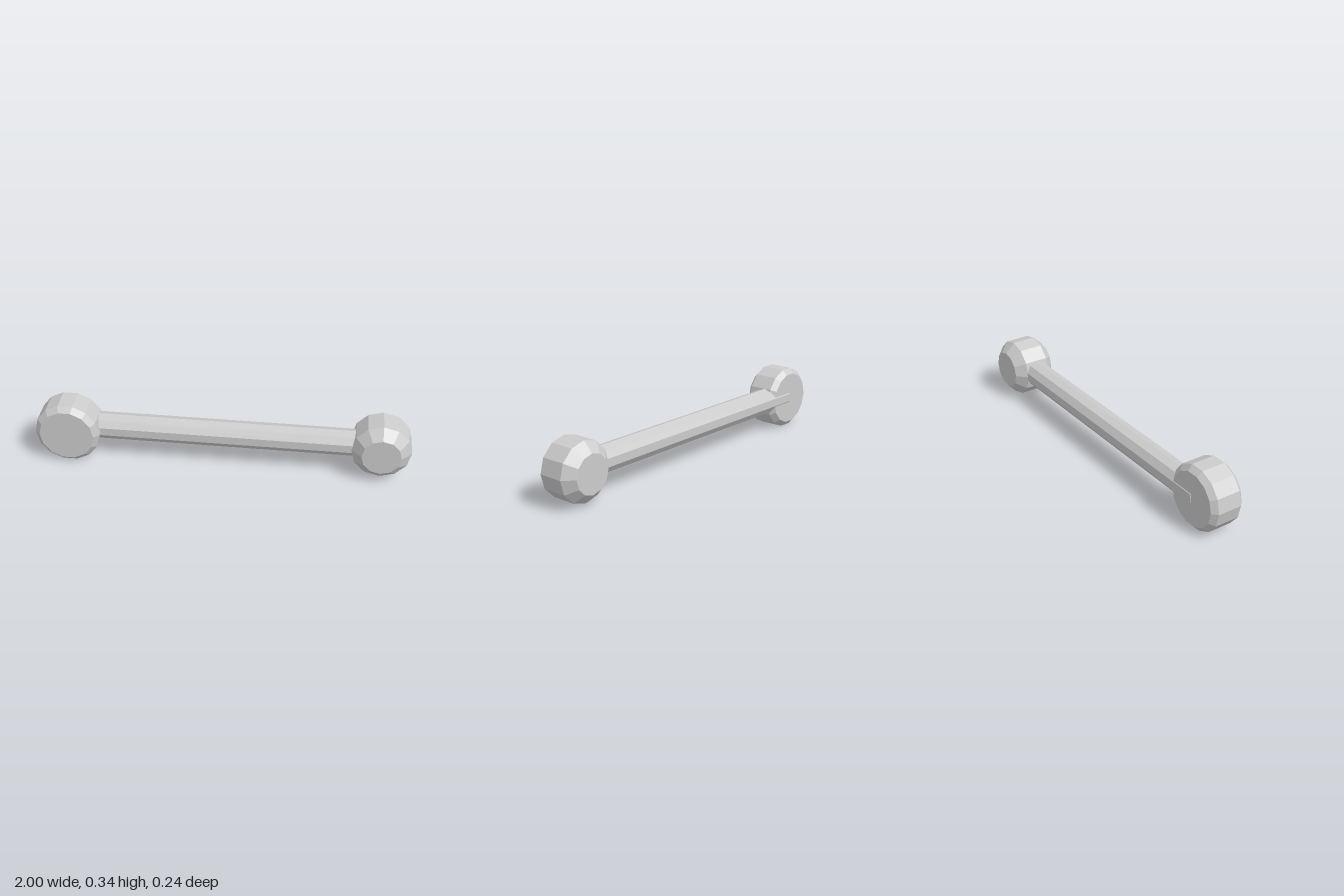
import * as THREE from 'three';

const material = new THREE.MeshStandardMaterial({ color: 0xcccccc, flatShading: true });

// Faceted disc with chamfered rims, its axis along z; profile is [radius, z] from back to front.
function knob(name, x, y, sides, profile) {
  const points = profile.map(([r, z]) => new THREE.Vector2(r, z));
  const geometry = new THREE.LatheGeometry(points, sides, Math.PI / 2);
  geometry.rotateX(Math.PI / 2);
  const mesh = new THREE.Mesh(geometry, material);
  mesh.name = name;
  mesh.position.set(x, y, 0);
  return mesh;
}

export function createModel() {
  const model = new THREE.Group();
  model.name = 'rodWithKnobs';

  // Ten-sided rod running between the knob centres
  const from = -0.822, to = 0.84;
  const rodGeometry = new THREE.CylinderGeometry(0.072, 0.072, to - from, 10, 1, false, Math.PI / 2);
  rodGeometry.rotateZ(Math.PI / 2);
  const rod = new THREE.Mesh(rodGeometry, material);
  rod.name = 'rod';
  rod.position.set((from + to) / 2, 0.173, 0);
  model.add(rod);

  // Wide knob, set forward so the rod just breaks through its back
  model.add(knob('wideKnob', -0.826, 0.17, 14,
    [[0, -0.065], [0.146, -0.065], [0.174, -0.038], [0.174, 0.095], [0.146, 0.122], [0, 0.122]]));

  // Small knob with deep chamfers
  model.add(knob('smallKnob', 0.842, 0.171, 12,
    [[0, -0.12], [0.104, -0.12], [0.158, -0.067], [0.158, 0.067], [0.104, 0.12], [0, 0.12]]));

  return model;
}
